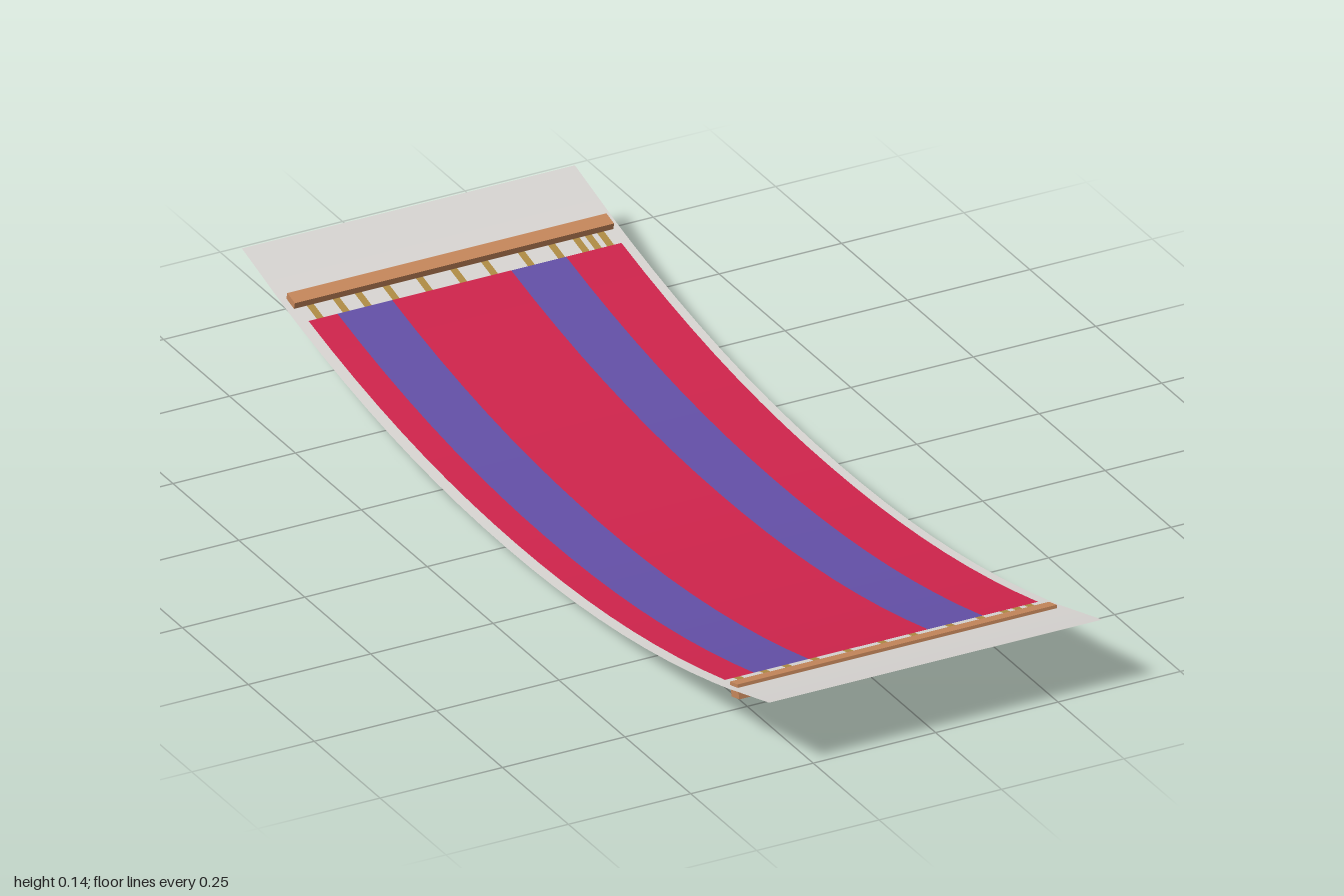
import * as THREE from 'three';

const sag = (z) => 0.145 * Math.pow(Math.abs(z), 2.08);
const slope = (z) => Math.sign(z) * 0.145 * 2.08 * Math.pow(Math.abs(z), 1.08);

function mat(name, color, side = THREE.FrontSide) {
  const m = new THREE.MeshStandardMaterial({ color, side });
  m.name = name;
  return m;
}

// Patch of the hanging sheet between two x and two z limits
function patch(name, x0, x1, z0, z1, segments, material) {
  const g = new THREE.PlaneGeometry(x1 - x0, z1 - z0, 1, segments);
  g.rotateX(-Math.PI / 2);
  g.translate((x0 + x1) / 2, 0, (z0 + z1) / 2);
  const p = g.attributes.position;
  const n = new THREE.Vector3();
  for (let i = 0; i < p.count; i++) {
    const z = p.getZ(i);
    p.setY(i, sag(z));
    n.set(0, 1, -slope(z)).normalize();
    g.attributes.normal.setXYZ(i, n.x, n.y, n.z);
  }
  const mesh = new THREE.Mesh(g, material);
  mesh.name = name;
  return mesh;
}

export function createModel() {
  const group = new THREE.Group();
  group.name = 'hammock';
  const red = mat('red cloth', 0xd0244c, THREE.DoubleSide);
  const purple = mat('purple cloth', 0x6450a8, THREE.DoubleSide);
  const backing = mat('pale backing', 0xd9d6d3, THREE.DoubleSide);
  const cord = mat('tan cord', 0xb08d45, THREE.DoubleSide);
  const wood = mat('wood', 0xc6875b);

  const clothEnd = 0.79, barZ = 0.843, edge = 0.34;

  // Striped cloth with narrow pale borders
  const cuts = [-edge, -0.317, -0.258, -0.146, 0.097, 0.209, 0.322, edge];
  const colours = [backing, red, purple, red, purple, red, backing];
  colours.forEach((m, i) => {
    const name = m === backing ? 'sideBorder' : 'clothStripe';
    group.add(patch(name, cuts[i], cuts[i + 1], -clothEnd, clothEnd, 18, m));
  });

  const cordXs = [-0.293, -0.24, -0.195, -0.138, -0.07, 0, 0.063, 0.138, 0.2, 0.25, 0.275, 0.3];
  const half = 0.007;
  for (const s of [1, -1]) {
    const end = new THREE.Group();
    end.name = s > 0 ? 'frontEnd' : 'backEnd';
    const add = (name, x0, x1, a, b, m) =>
      end.add(patch(name, x0, x1, Math.min(s * a, s * b), Math.max(s * a, s * b), 1, m));

    // Cords between the cloth and the spreader bar, with backing in the gaps
    let x = -edge;
    for (const c of cordXs) {
      add('cordGap', x, c - half, clothEnd, barZ, backing);
      add('cord', c - half, c + half, clothEnd, barZ, cord);
      x = c + half;
    }
    add('cordGap', x, edge, clothEnd, barZ, backing);

    // End flap beyond the bar
    add('endFlap', -edge, edge, barZ, 1, backing);

    // Wooden spreader bar, tilted along the sheet
    const bar = new THREE.Mesh(new THREE.BoxGeometry(0.652, 0.028, 0.03), wood);
    bar.name = 'spreaderBar';
    bar.position.set(0, s > 0 ? 0.094 : 0.101, s * barZ);
    bar.rotation.x = -Math.atan(slope(s * barZ));
    end.add(bar);
    group.add(end);
  }
  return group;
}
